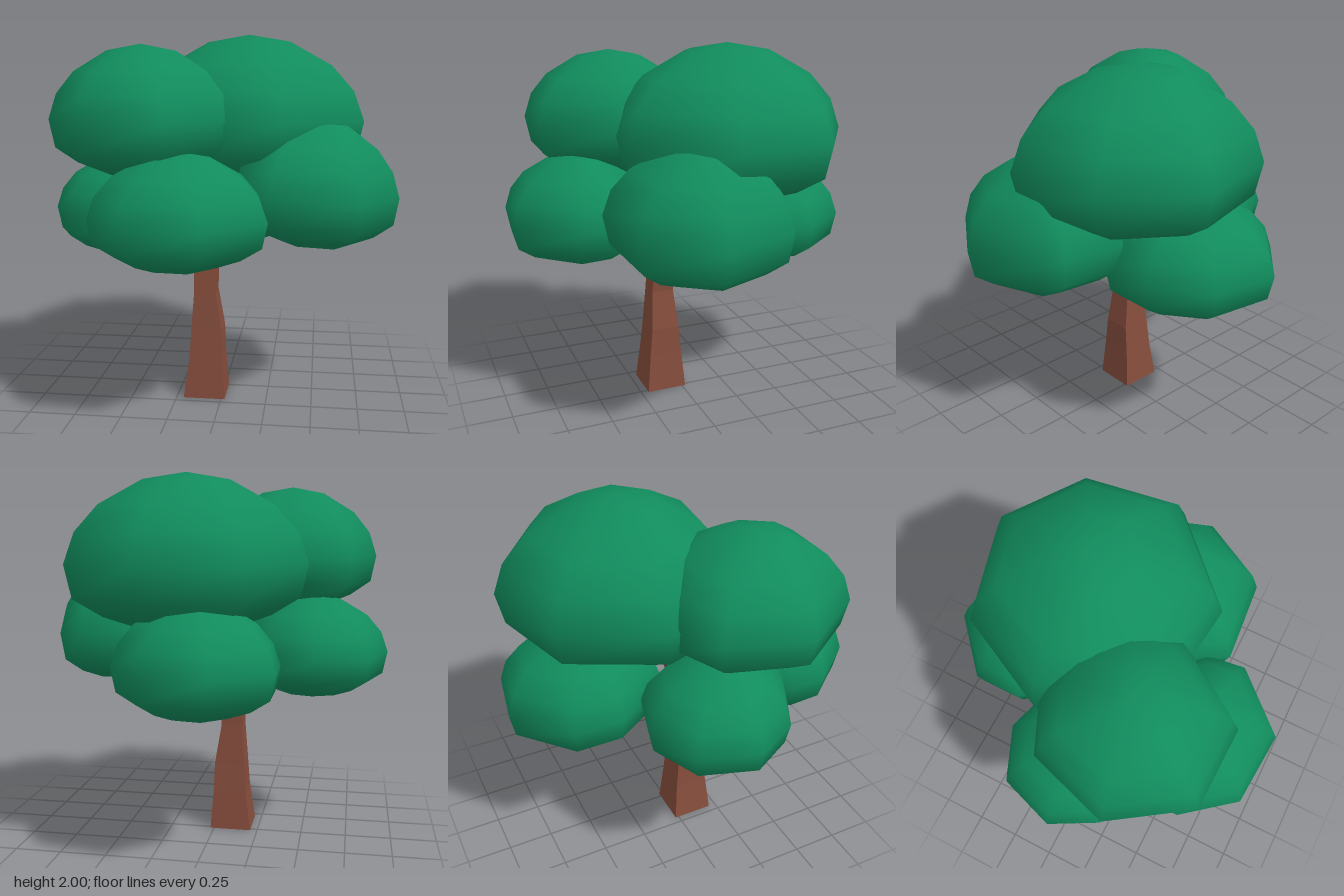
import * as THREE from 'three';

// Closed skin over rings of Vector3 (each ring runs from +x towards +z, bottom ring first)
function loft(rings, bottom, top) {
  const n = rings[0].length, points = [...rings.flat(), bottom, top], index = [];
  const b = points.length - 2, t = points.length - 1, last = (rings.length - 1) * n;
  for (let i = 0; i < n; i++) {
    const k = (i + 1) % n;
    for (let r = 0; r < last; r += n) {
      index.push(r + i, r + n + i, r + k, r + k, r + n + i, r + n + k);
    }
    index.push(b, i, k, t, last + k, last + i);
  }
  const geometry = new THREE.BufferGeometry().setFromPoints(points);
  geometry.setIndex(index);
  geometry.computeVertexNormals();
  return geometry;
}

// Hard facets for the wood
function faceted(geometry) {
  const flat = geometry.toNonIndexed();
  flat.computeVertexNormals();
  return flat;
}

// Height fraction and width of each leaf ring: broad and flat below, domed above
const PROFILE = [[0, 0.42], [0.08, 0.7], [0.2, 0.94], [0.42, 1], [0.62, 0.91], [0.79, 0.72], [0.95, 0.36]];

// Leaf clump from its widest outline (x, z pairs) and its height range;
// tilt lowers the +x side
function clumpGeometry({ outline, y0, y1, tilt = 0 }) {
  const xs = outline.map(p => p[0]), zs = outline.map(p => p[1]);
  const cx = (Math.min(...xs) + Math.max(...xs)) / 2;
  const cz = (Math.min(...zs) + Math.max(...zs)) / 2;
  const rings = PROFILE.map(([t, s]) => outline.map(([x, z]) => new THREE.Vector3(
    cx + (x - cx) * s,
    y0 + (y1 - y0) * t - tilt * (x - cx) * s,
    cz + (z - cz) * s)));
  return loft(rings, new THREE.Vector3(cx, y0, cz), new THREE.Vector3(cx, y1, cz));
}

const CLUMPS = {
  crownLeaves: { y0: 1.2, y1: 2.0, outline: [[0.75, 0], [0.33, 0.41], [-0.1, 0.36], [-0.42, 0.12],
    [-0.53, -0.2], [-0.28, -0.7], [0.24, -0.84], [0.67, -0.54]] },
  upperRightLeaves: { y0: 1.28, y1: 1.94, outline: [[0.07, 0.33], [-0.2, 0.73], [-0.63, 0.72], [-0.88, 0.35],
    [-0.75, -0.07], [-0.5, -0.18], [-0.15, -0.17], [0.05, 0.02]] },
  leftLeaves: { y0: 0.89, y1: 1.56, tilt: 0.07, outline: [[0.94, 0.13], [0.73, 0.49], [0.27, 0.53], [0.08, 0.3],
    [0.08, -0.05], [0.38, -0.39], [0.68, -0.32], [0.8, -0.27]] },
  frontLeaves: { y0: 0.85, y1: 1.42, outline: [[0.28, 0.63], [0, 0.93], [-0.4, 0.9], [-0.61, 0.64],
    [-0.62, 0.45], [-0.4, 0.17], [0, 0.17], [0.25, 0.4]] },
  lowerRightLeaves: { y0: 0.82, y1: 1.36, outline: [[-0.95, 0.06], [-0.85, -0.24], [-0.57, -0.36], [-0.3, -0.28],
    [-0.13, 0], [-0.2, 0.32], [-0.5, 0.47], [-0.82, 0.3]] },
  backLeaves: { y0: 0.79, y1: 1.37, outline: [[-0.13, -0.93], [0.22, -0.87], [0.42, -0.6], [0.42, -0.3],
    [0.1, -0.06], [-0.2, -0.1], [-0.41, -0.42], [-0.41, -0.68]] },
};

// Trunk sections: y, x range, z range
const TRUNK = [
  [0, -0.21, 0.02, -0.02, 0.21],
  [0.22, -0.18, 0.005, 0, 0.19],
  [0.38, -0.17, 0, 0.015, 0.175],
  [0.6, -0.155, -0.035, 0.035, 0.16],
  [0.84, -0.155, -0.025, 0.045, 0.14],
  [0.92, -0.14, -0.04, 0.05, 0.13],
];

// Branch tips, all starting at the fork
const FORK = new THREE.Vector3(-0.09, 0.84, 0.09);
const BRANCHES = {
  leftBranch: [0.38, 1.12, 0.1],
  backBranch: [0, 1.08, -0.36],
  upperRightBranch: [-0.22, 1.45, 0.2],
  crownBranch: [0.02, 1.4, -0.08],
};

export function createModel() {
  const tree = new THREE.Group();
  tree.name = 'tree';
  const leafGreen = new THREE.MeshStandardMaterial({ color: 0x118c5d });
  leafGreen.name = 'leafGreen';
  const barkBrown = new THREE.MeshStandardMaterial({ color: 0x854d3c });
  barkBrown.name = 'barkBrown';

  const add = (name, geometry, material) => {
    const mesh = new THREE.Mesh(geometry, material);
    mesh.name = name;
    tree.add(mesh);
    return mesh;
  };

  // Square trunk, narrowing upwards
  const rings = TRUNK.map(([y, x0, x1, z0, z1]) =>
    [[x1, z0], [x1, z1], [x0, z1], [x0, z0]].map(([x, z]) => new THREE.Vector3(x, y, z)));
  add('trunk', faceted(loft(rings, new THREE.Vector3(-0.095, 0, 0.095), new THREE.Vector3(-0.09, 0.92, 0.09))), barkBrown);

  // Four-sided branches reaching into the leaves
  for (const [name, tip] of Object.entries(BRANCHES)) {
    const direction = new THREE.Vector3(...tip).sub(FORK);
    const geometry = new THREE.CylinderGeometry(0.04, 0.065, direction.length(), 4).rotateY(Math.PI / 4);
    const branch = add(name, faceted(geometry), barkBrown);
    branch.position.copy(FORK).addScaledVector(direction, 0.5);
    branch.quaternion.setFromUnitVectors(new THREE.Vector3(0, 1, 0), direction.clone().normalize());
  }

  // Leaf clumps
  for (const [name, clump] of Object.entries(CLUMPS)) add(name, clumpGeometry(clump), leafGreen);

  return tree;
}
